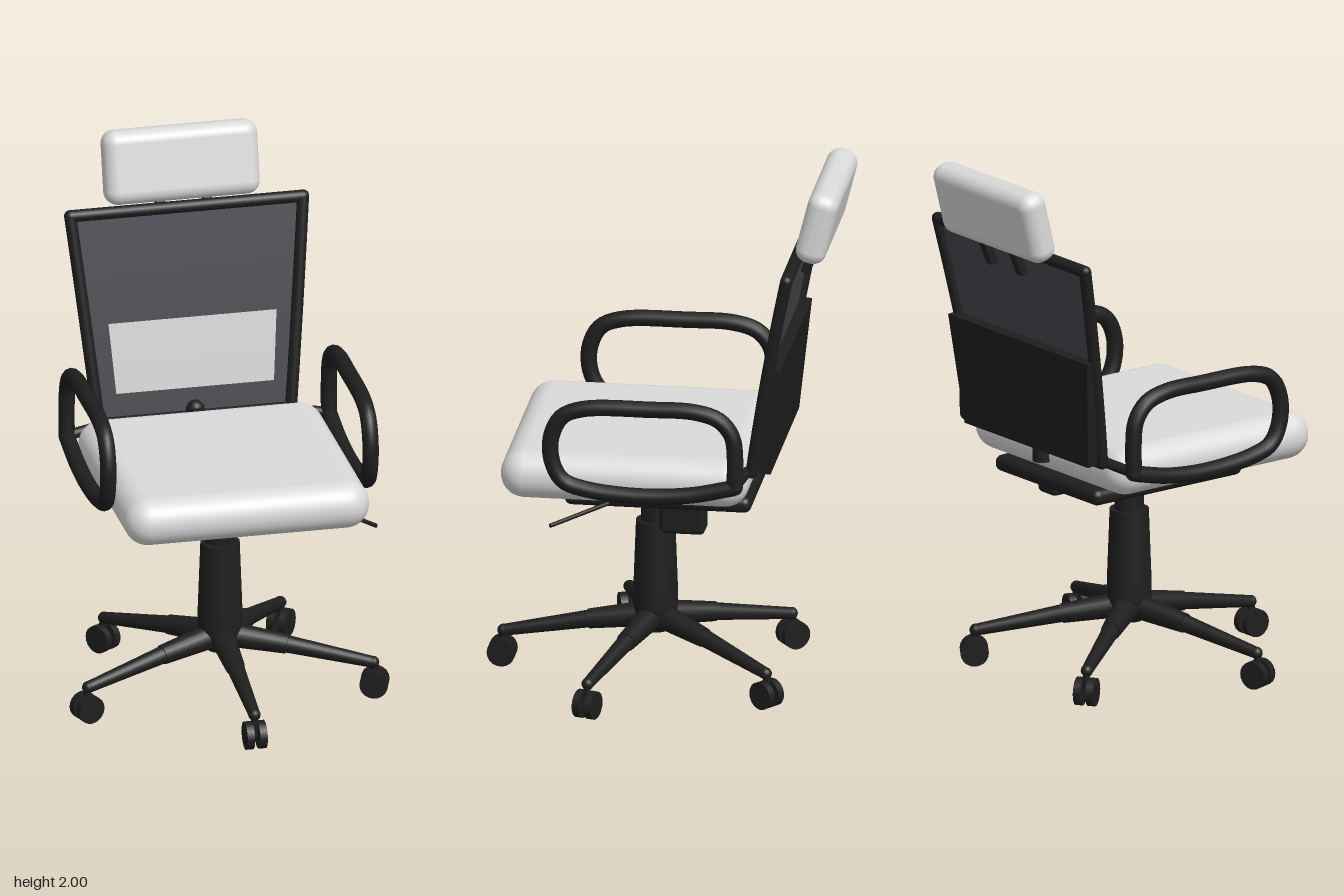
import * as THREE from 'three';
import { RoundedBoxGeometry } from 'three/addons/geometries/RoundedBoxGeometry.js';

const paint = (name, color) => {
  const m = new THREE.MeshStandardMaterial({ color });
  m.name = name;
  return m;
};
const V = (x, y, z) => new THREE.Vector3(x, y, z);

export function createModel() {
  const model = new THREE.Group();
  model.name = 'officeChair';
  const black = paint('black plastic', 0x1e1e1f);
  const grey = paint('light grey upholstery', 0xdadada);
  const mesh = paint('dark grey mesh', 0x47464d);
  mesh.side = THREE.DoubleSide;
  const pad = paint('lumbar grey', 0xd6d6d6);
  pad.side = THREE.DoubleSide;

  const add = (name, geo, mat, parent = model) => {
    const m = new THREE.Mesh(geo, mat);
    m.name = name;
    parent.add(m);
    return m;
  };
  // Tapered round bar between two points
  const rod = (name, a, b, ra, rb, parent = model) => {
    const m = add(name, new THREE.CylinderGeometry(rb, ra, a.distanceTo(b), 20), black, parent);
    m.position.copy(a).lerp(b, 0.5);
    m.quaternion.setFromUnitVectors(V(0, 1, 0), b.clone().sub(a).normalize());
    return m;
  };
  const ball = (name, p, r, parent = model) =>
    add(name, new THREE.SphereGeometry(r, 16, 12), black, parent).position.copy(p);
  const box = (name, w, h, d, r, mat, x, y, z) => {
    const m = add(name, new RoundedBoxGeometry(w, h, d, 6, r), mat);
    m.position.set(x, y, z);
    return m;
  };

  // Seat and mechanism
  box('seat', 0.93, 0.182, 0.93, 0.09, grey, 0, 0.894, 0.11);
  box('seatPlate', 0.62, 0.062, 0.7, 0.028, black, 0, 0.777, 0);
  box('tiltBox', 0.105, 0.13, 0.17, 0.02, black, 0.222, 0.705, -0.087);
  rod('heightLever', V(0.34, 0.775, 0.18), V(0.522, 0.742, 0.37), 0.008, 0.008);

  // Gas column and hub
  const column = [[0, 0.17], [0.05, 0.17], [0.075, 0.2], [0.083, 0.26], [0.083, 0.33], [0.073, 0.6],
    [0.055, 0.6], [0.055, 0.76]].map(([x, y]) => new THREE.Vector2(x, y));
  for (let i = 0; i < column.length - 1; i++) {
    add('column', new THREE.LatheGeometry([column[i], column[i + 1]], 32), black).position.z = 0.05;
  }

  // Five legs with twin-wheel casters
  for (let i = 0; i < 5; i++) {
    const leg = new THREE.Group();
    leg.name = 'leg';
    leg.position.z = 0.05;
    leg.rotation.y = (i * Math.PI * 2) / 5;
    model.add(leg);
    rod('legInner', V(0, 0.228, 0.03), V(0, 0.195, 0.25), 0.048, 0.037, leg);
    rod('legOuter', V(0, 0.195, 0.25), V(0, 0.134, 0.57), 0.033, 0.022, leg);
    ball('legTip', V(0, 0.134, 0.57), 0.023, leg);
    rod('casterStem', V(0, 0.05, 0.575), V(0, 0.13, 0.575), 0.012, 0.014, leg);
    for (const s of [-1, 1]) {
      rod('wheel', V(s * 0.01, 0.055, 0.575), V(s * 0.038, 0.055, 0.575), 0.053, 0.053, leg);
    }
  }

  // Backrest curve: depth and half width at each height
  const T = y => (y - 0.915) / 0.825;
  const backZ = y => -0.36 - 0.12 * T(y) - 0.028 * T(y) ** 2;
  const backW = y => 0.363 + 0.082 * T(y);
  const yLow = 0.935, yTop = 1.72, R = 0.023;

  // Curved sheet following the backrest
  const sheet = (y0, y1, width, offset) => {
    const g = new THREE.PlaneGeometry(2, 1, 1, 16);
    const p = g.attributes.position;
    for (let i = 0; i < p.count; i++) {
      const y = y0 + (p.getY(i) + 0.5) * (y1 - y0);
      p.setXYZ(i, p.getX(i) * width(y), y, backZ(y) + offset);
    }
    g.computeVertexNormals();
    return g;
  };
  add('backMesh', sheet(yLow, yTop, backW, 0), mesh);
  add('lumbarPad', sheet(1.05, 1.315, y => 0.3 + 0.075 * (y - 1.05), 0.018), pad);

  // Backrest frame
  for (const s of [-1, 1]) {
    const pts = [];
    for (let i = 0; i <= 6; i++) {
      const y = yLow + ((yTop - yLow) * i) / 6;
      pts.push(V(s * backW(y), y, backZ(y)));
    }
    add('frameSide', new THREE.TubeGeometry(new THREE.CatmullRomCurve3(pts), 24, R, 12), black);
    ball('frameCorner', pts[0], R);
    ball('frameCorner', pts[6], R);
  }
  for (const y of [yLow, yTop]) {
    rod('frameBar', V(-backW(y), y, backZ(y)), V(backW(y), y, backZ(y)), R, R);
  }

  // Rear lower panel
  const outline = new THREE.Shape([[-0.372, -0.21], [0.372, -0.21], [0.418, 0.21], [-0.418, 0.21]]
    .map(([x, y]) => new THREE.Vector2(x, y)));
  const panel = add('rearPanel', new THREE.ExtrudeGeometry(outline, { depth: 0.042, bevelEnabled: false }), black);
  panel.geometry.translate(0, 0, -0.021);
  panel.position.set(0, 1.142, -0.434);
  panel.rotation.x = -0.1;

  // Joint between seat and backrest
  rod('backJoint', V(0, 0.86, -0.36), V(0, 0.975, -0.362), 0.035, 0.035);
  ball('backJointCap', V(0, 0.965, -0.362), 0.033);

  // Headrest and its brackets
  box('headrest', 0.59, 0.28, 0.115, 0.05, grey, -0.005, 1.864, -0.59).rotation.x = -0.25;
  for (const s of [-1, 1]) {
    const b = box('headrestBracket', 0.035, 0.13, 0.035, 0.006, black, s * 0.09, 1.695, -0.548);
    b.rotation.x = -0.4;
  }

  // Armrest loops
  const armPath = [[-0.318, 0.92], [-0.32, 1.03], [-0.308, 1.12], [-0.26, 1.18], [-0.17, 1.208], [0, 1.21],
    [0.25, 1.2], [0.33, 1.165], [0.37, 1.08], [0.365, 0.985], [0.325, 0.915], [0.24, 0.885], [0.04, 0.867],
    [-0.15, 0.88], [-0.318, 0.918]];
  for (const s of [-1, 1]) {
    const curve = new THREE.CatmullRomCurve3(armPath.map(([z, y]) => V(s * 0.499, y, z)));
    add('armrest', new THREE.TubeGeometry(curve, 90, 0.031, 12), black);
    ball('armrestJoint', V(s * 0.499, 0.92, -0.318), 0.031);
    rod('armrestMount', V(s * 0.36, 0.935, -0.345), V(s * 0.499, 0.92, -0.318), 0.02, 0.02);
  }
  return model;
}
